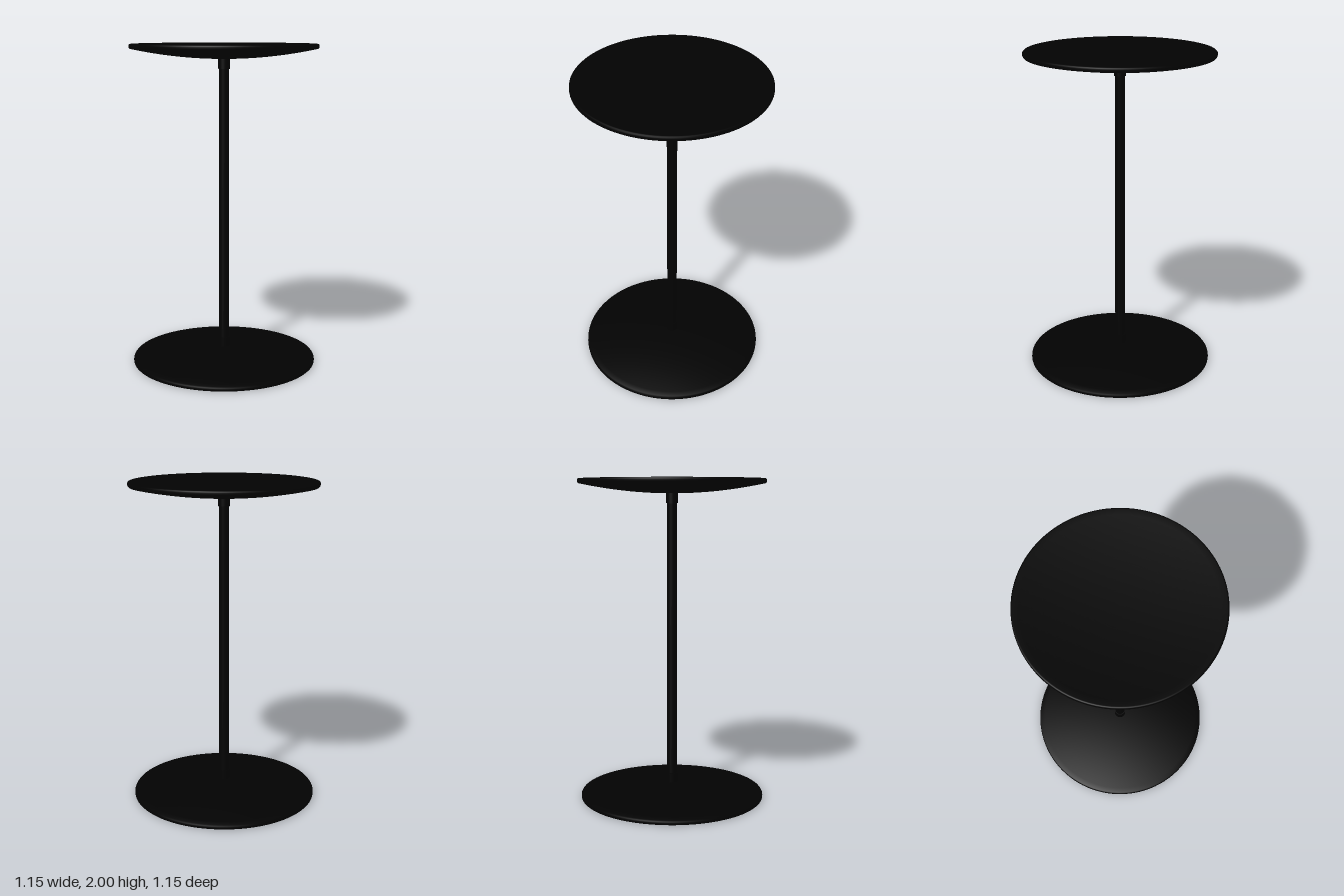
import * as THREE from 'three';

export function createModel() {
  const group = new THREE.Group();
  group.name = 'pedestalTable';
  const black = new THREE.MeshStandardMaterial({ color: 0x020202 });
  black.name = 'black';

  // Disc profile: gently dished outer face, softly rounded rim, domed inner face
  const dishRadius = 0.566, dishDepth = 0.035;
  const domeRadius = 0.571, rimHeight = 0.029, height = 0.09;
  const steps = 18;
  const profile = [];
  for (let i = 0; i <= steps; i++) {
    const t = i / steps;
    profile.push(new THREE.Vector2(dishRadius * t, dishDepth * (1 - t * t)));
  }
  for (const [r, y] of [[0.572, 0.001], [0.576, 0.005], [0.577, 0.013], [0.576, 0.022]]) {
    profile.push(new THREE.Vector2(r, y));
  }
  for (let i = steps; i >= 0; i--) {
    const t = i / steps;
    profile.push(new THREE.Vector2(domeRadius * t, height - (height - rimHeight) * t * t));
  }
  const discGeometry = new THREE.LatheGeometry(profile, 96);
  const collarGeometry = new THREE.CylinderGeometry(0.036, 0.036, 0.08, 32);

  // A disc with its pole collar; the table top is the base turned over
  function addEnd(name, discName, collarName) {
    const end = new THREE.Group();
    end.name = name;
    const disc = new THREE.Mesh(discGeometry, black);
    disc.name = discName;
    const collar = new THREE.Mesh(collarGeometry, black);
    collar.name = collarName;
    collar.position.y = 0.11;
    end.add(disc, collar);
    group.add(end);
    return end;
  }
  addEnd('base', 'baseDisc', 'baseCollar');
  const top = addEnd('top', 'tableTop', 'topCollar');
  top.rotation.x = Math.PI;
  top.position.y = 2;

  // Central pole
  const pole = new THREE.Mesh(new THREE.CylinderGeometry(0.031, 0.031, 1.84, 32), black);
  pole.name = 'pole';
  pole.position.y = 1;
  group.add(pole);

  return group;
}
